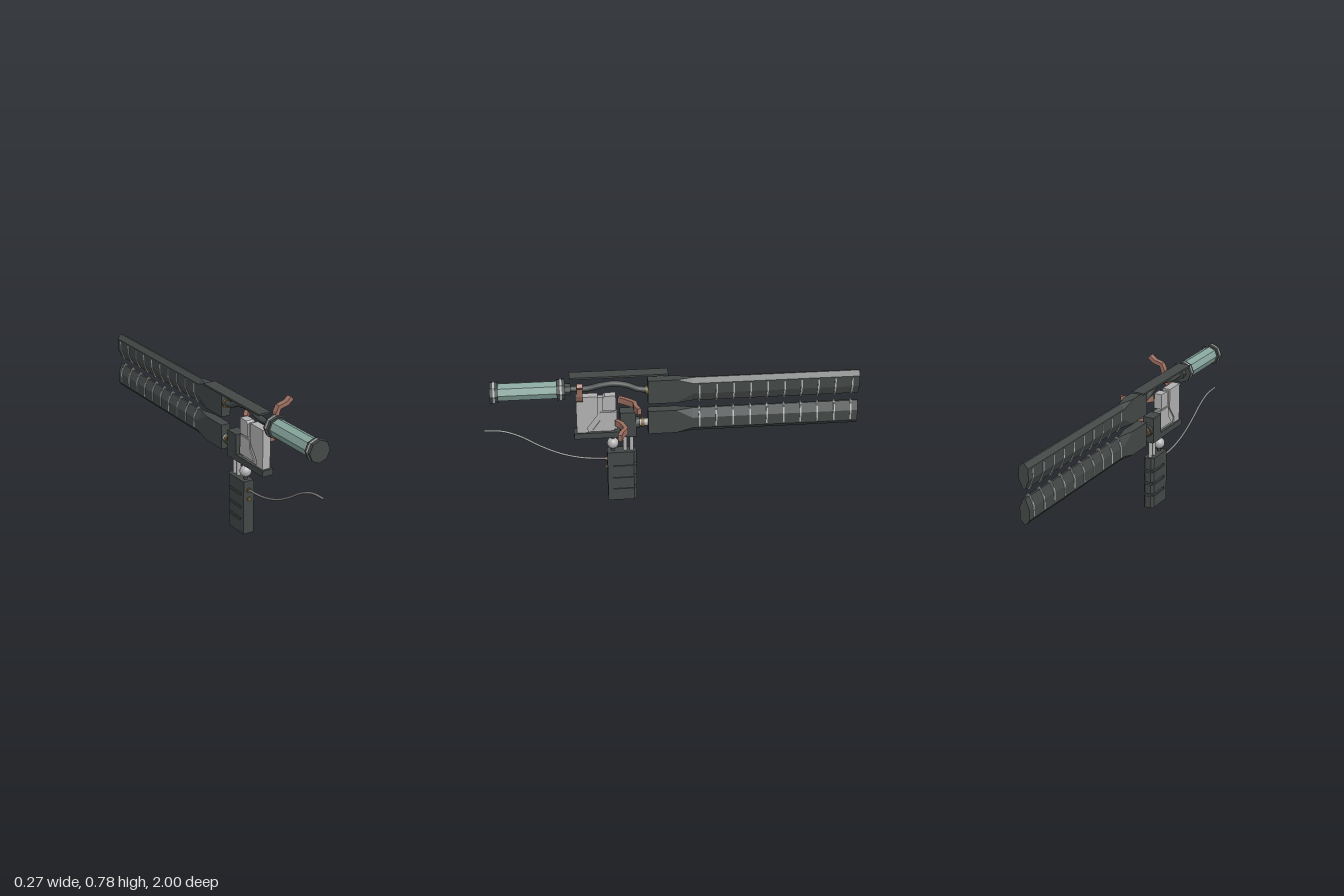
import * as THREE from 'three';

const mat = (name, color) => {
  const m = new THREE.MeshStandardMaterial({ color });
  m.name = name;
  return m;
};

export function createModel() {
  const dark = mat('dark casing', 0x434847);
  const steel = mat('pale steel', 0xb2b2b2);
  const teal = mat('teal cell', 0x86a59c);
  const copper = mat('copper', 0x9c6f61);
  const brass = mat('brass', 0x74603a);
  const grey = mat('cable grey', 0x858585);

  const root = new THREE.Group();
  root.name = 'railDevice';
  const body = new THREE.Group();
  body.name = 'body';
  body.position.x = -0.066; // the device sits right of the hooks' centre
  root.add(body);

  const add = (name, geo, m, x = 0, y = 0, z = 0, parent = body) => {
    const mesh = new THREE.Mesh(geo, m);
    mesh.name = name;
    mesh.position.set(x, y, z);
    parent.add(mesh);
    return mesh;
  };
  // box given by width and its y and z ranges
  const box = (name, m, w, y0, y1, z0, z1, x = 0) =>
    add(name, new THREE.BoxGeometry(w, y1 - y0, z1 - z0), m, x, (y0 + y1) / 2, (z0 + z1) / 2);
  // cylinder along z
  const rodZ = (name, m, r, y, z0, z1, sides = 16, parent = body) => {
    const g = new THREE.CylinderGeometry(r, r, z1 - z0, sides);
    g.rotateX(Math.PI / 2);
    if (sides === 8) g.computeVertexNormals();
    return add(name, sides === 8 ? flat(g) : g, m, 0, y, (z0 + z1) / 2, parent);
  };
  const flat = (g) => {
    const n = g.toNonIndexed();
    n.computeVertexNormals();
    return n;
  };
  const polygon = (pts) => new THREE.Shape(pts.map((p) => new THREE.Vector2(p[0], p[1])));
  const extrude = (pts, depth) =>
    new THREE.ExtrudeGeometry(polygon(pts), { depth, bevelEnabled: false });
  const tube = (name, m, pts, r, sides = 8) => {
    const curve = new THREE.CatmullRomCurve3(pts.map(([z, y]) => new THREE.Vector3(0, y, z)));
    return add(name, new THREE.TubeGeometry(curve, 40, r, sides, false), m);
  };

  // ---- Energy cell: octagonal canister with banded caps
  rodZ('cellBody', teal, 0.049, 0.677, 0.6, 0.92, 8);
  for (const z of [0.565, 0.912]) {
    rodZ('cellCap', dark, 0.059, 0.677, z, z + 0.043, 8);
    rodZ('cellBand', steel, 0.0615, 0.677, z + 0.016, z + 0.026, 8);
  }
  rodZ('cellNeck', dark, 0.032, 0.677, 0.535, 0.566, 8);
  tube('feedHose', dark, [[0.54, 0.677], [0.45, 0.675], [0.38, 0.69], [0.31, 0.697],
    [0.24, 0.685], [0.18, 0.66], [0.12, 0.652]], 0.016, 12);
  rodZ('hoseSocket', brass, 0.022, 0.652, 0.125, 0.142);

  // ---- Top cover plate
  box('coverPlate', dark, 0.072, 0.73, 0.74, 0.02, 0.54, -0.033);

  // ---- Rails: square at the root, tapering to a hexagonal bar
  const section = (z, wt, yt, ys, yb, wb) => [[wb, 0.58], [0.027, yb], [0.027, ys], [wt, yt],
    [-wt, yt], [-0.027, ys], [-0.027, yb], [-wb, 0.58]].map(([x, y]) => [x, y, z]);
  const railGeometry = () => {
    const rings = [
      section(0.13, 0.027, 0.715, 0.714, 0.581, 0.027),
      section(-0.02, 0.027, 0.715, 0.714, 0.581, 0.027),
      section(-0.107, 0.005, 0.715, 0.69, 0.63, 0.006),
      section(-1, 0.005, 0.715, 0.69, 0.63, 0.006),
    ];
    const pos = [];
    const tri = (a, b, c) => pos.push(...a, ...b, ...c);
    for (let i = 0; i < 3; i++) {
      for (let j = 0; j < 8; j++) {
        const k = (j + 1) % 8, r = rings[i], s = rings[i + 1];
        tri(r[j], s[j], r[k]);
        tri(r[k], s[j], s[k]);
      }
    }
    for (let j = 1; j < 7; j++) {
      tri(rings[0][0], rings[0][j], rings[0][j + 1]);
      tri(rings[3][0], rings[3][j + 1], rings[3][j]);
    }
    const g = new THREE.BufferGeometry();
    g.setAttribute('position', new THREE.Float32BufferAttribute(pos, 3));
    g.computeVertexNormals();
    return g;
  };
  const finGeo = extrude([[0.009, 0.573], [0.0295, 0.628], [0.0295, 0.682],
    [-0.0295, 0.682], [-0.0295, 0.628], [-0.009, 0.573]], 0.008);
  const studGeo = new THREE.OctahedronGeometry(1);
  studGeo.scale(0.02, 0.027, 0.013);
  for (const side of [1, -1]) {
    const rail = new THREE.Group();
    rail.name = side > 0 ? 'upperRail' : 'lowerRail';
    rail.scale.y = side;
    rail.position.y = side > 0 ? 0 : 1.115;
    body.add(rail);
    add('railBar', railGeometry(), dark, 0, 0, 0, rail);
    for (let i = 0; i < 10; i++) {
      const z = -0.144 - i * 0.0909;
      add('railFin', finGeo, steel, 0, 0, z - 0.004, rail);
      add('railStud', studGeo, steel, 0, 0.592, z, rail);
    }
  }

  // ---- Coupling between the rear block and the lower rail
  box('couplingBlock', dark, 0.064, 0.39, 0.535, 0.195, 0.28);
  rodZ('couplingFlange', dark, 0.03, 0.46, 0.175, 0.196);
  rodZ('couplingShaft', steel, 0.02, 0.46, 0.125, 0.18);
  rodZ('couplingRing', brass, 0.026, 0.46, 0.15, 0.168);

  // ---- Receiver: thin core with raised side blocks
  box('basePlate', dark, 0.063, 0.39, 0.423, 0.265, 0.525);
  box('receiverCore', steel, 0.028, 0.42, 0.625, 0.31, 0.5);
  const sidePart = (name, pts, w) => {
    const g = extrude(pts.map(([z, y]) => [-z, y]), w);
    g.rotateY(Math.PI / 2);
    g.translate(-w / 2, 0, 0);
    add(name, g, steel);
  };
  sidePart('receiverRear', [[0.51, 0.423], [0.51, 0.635], [0.395, 0.635], [0.395, 0.53],
    [0.45, 0.455], [0.45, 0.423]].reverse(), 0.045);
  sidePart('receiverUpper', [[0.37, 0.55], [0.37, 0.622], [0.358, 0.635], [0.3, 0.635],
    [0.3, 0.55]].reverse(), 0.045);
  sidePart('receiverLower', [[0.425, 0.435], [0.385, 0.49], [0.385, 0.538], [0.295, 0.538],
    [0.295, 0.435]].reverse(), 0.04);

  // ---- Supports between receiver and grip
  for (const z of [0.255, 0.22]) {
    add('supportRod', new THREE.CylinderGeometry(0.011, 0.011, 0.11, 16), steel, 0, 0.345, z);
  }
  add('ballStem', new THREE.CylinderGeometry(0.01, 0.01, 0.11, 12), dark, 0, 0.345, 0.32);
  add('ball', new THREE.SphereGeometry(0.031, 24, 16), steel, 0, 0.342, 0.32);

  // ---- Grip: spine, recessed core and four finger segments
  box('gripSpine', dark, 0.062, 0, 0.297, 0.325, 0.352);
  box('gripCore', dark, 0.05, 0.005, 0.29, 0.21, 0.33);
  const edges = [0, 0.077, 0.146, 0.22, 0.297];
  for (let i = 0; i < 4; i++) {
    const y0 = edges[i] + (i ? 0.008 : 0), y1 = edges[i + 1] - (i < 3 ? 0.008 : 0);
    const g = extrude([[-0.031, -0.326], [0.031, -0.326], [0.031, -0.21], [0.018, -0.195],
      [-0.018, -0.195], [-0.031, -0.21]], y1 - y0);
    g.rotateX(-Math.PI / 2);
    add('gripSegment', g, dark, 0, y0, 0);
  }
  rodZ('cableSocket', brass, 0.012, 0.245, 0.35, 0.36);
  rodZ('gripButton', brass, 0.011, 0.196, 0.35, 0.36);

  // ---- Trailing cable
  tube('cable', grey, [[0.35, 0.246], [0.48, 0.257], [0.6, 0.29], [0.706, 0.342],
    [0.813, 0.408], [0.904, 0.443], [1, 0.45]], 0.006);

  // ---- Copper hooks: bent strips of constant thickness
  const strip = (path, t, depth) => {
    const p = path.map(([x, y]) => new THREE.Vector2(x, y));
    const up = [], down = [];
    p.forEach((c, i) => {
      const d = p[Math.min(i + 1, p.length - 1)].clone().sub(p[Math.max(i - 1, 0)]).normalize();
      up.push([c.x - d.y * t / 2, c.y + d.x * t / 2]);
      down.push([c.x + d.y * t / 2, c.y - d.x * t / 2]);
    });
    return extrude([...down, ...up.reverse()], depth);
  };
  add('topHook', strip([[-0.035, 0.625], [-0.012, 0.645], [-0.002, 0.67], [0.002, 0.71],
    [0.014, 0.735], [0.06, 0.747], [0.088, 0.77]], 0.022, 0.032), copper, 0, 0, 0.474, root);
  const flatHook = (name, path, y) => {
    const g = strip(path.map(([x, z]) => [x, -z]), 0.022, 0.034);
    g.rotateX(-Math.PI / 2);
    add(name, g, copper, 0, y, 0, root);
  };
  flatHook('upperHook', [[-0.045, 0.285], [-0.025, 0.255], [0.0, 0.225], [0.02, 0.205],
    [0.06, 0.203], [0.102, 0.187]], 0.596);
  flatHook('lowerHook', [[-0.045, 0.3], [-0.015, 0.275], [0.02, 0.262], [0.05, 0.255],
    [0.09, 0.28], [0.13, 0.292]], 0.459);

  return root;
}
